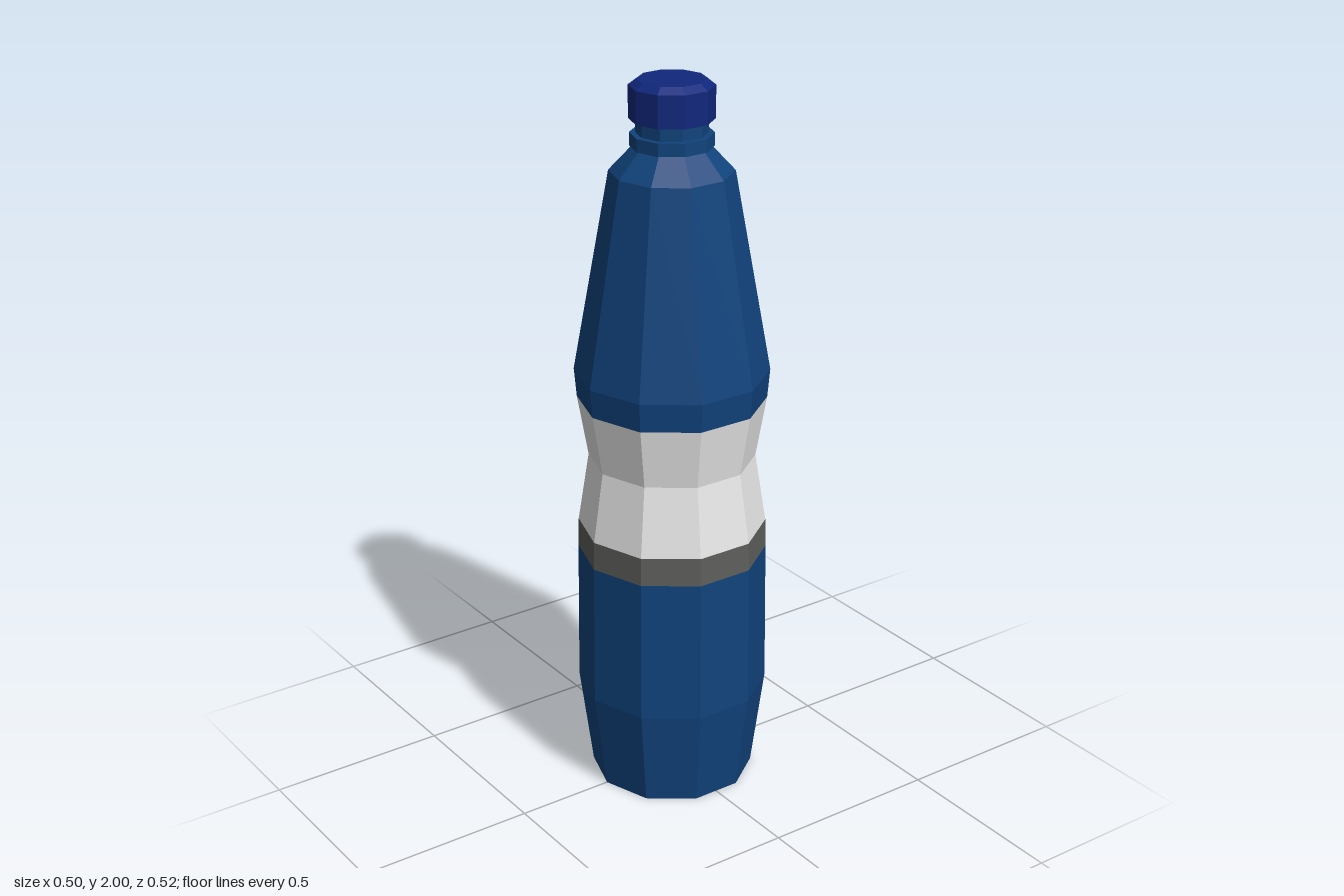
import * as THREE from 'three';

const SIDES = 10;

const paint = (name, color) => {
  const material = new THREE.MeshStandardMaterial({ color });
  material.name = name;
  return material;
};

// Faceted ring of surface turned from [radius, height] pairs, listed bottom to top
function turned(name, material, profile) {
  const points = profile.map(([r, y]) => new THREE.Vector2(r, y));
  const geometry = new THREE.LatheGeometry(points, SIDES).toNonIndexed();
  geometry.computeVertexNormals(); // one normal per facet
  const mesh = new THREE.Mesh(geometry, material);
  mesh.name = name;
  return mesh;
}

export function createModel() {
  const blue = paint('bottle blue', 0x10437c);
  const navy = paint('cap navy', 0x10277c);
  const white = paint('label white', 0xe8e8e8);
  const grey = paint('stripe grey', 0x5e5e5c);

  const bottle = new THREE.Group();
  bottle.name = 'bottle';
  bottle.add(
    // Closed base and lower body
    turned('lowerBody', blue, [[0, 0], [0.225, 0], [0.262, 0.28], [0.258, 0.685]]),
    // Label wrapped round the pinched grip
    turned('labelStripe', grey, [[0.258, 0.685], [0.256, 0.765]]),
    turned('label', white, [[0.256, 0.765], [0.226, 0.96], [0.255, 1.13]]),
    // Tapering upper body and shoulder
    turned('upperBody', blue, [[0.255, 1.13], [0.262, 1.21], [0.164, 1.76], [0.1, 1.828]]),
    // Neck with its collar
    turned('neck', blue, [
      [0.095, 1.825], [0.11, 1.825], [0.11, 1.86], [0.094, 1.86], [0.094, 1.9],
    ]),
    // Cap with a bevelled top edge
    turned('cap', navy, [[0, 1.897], [0.112, 1.897], [0.112, 1.984], [0.09, 2], [0, 2]]),
  );
  return bottle;
}
